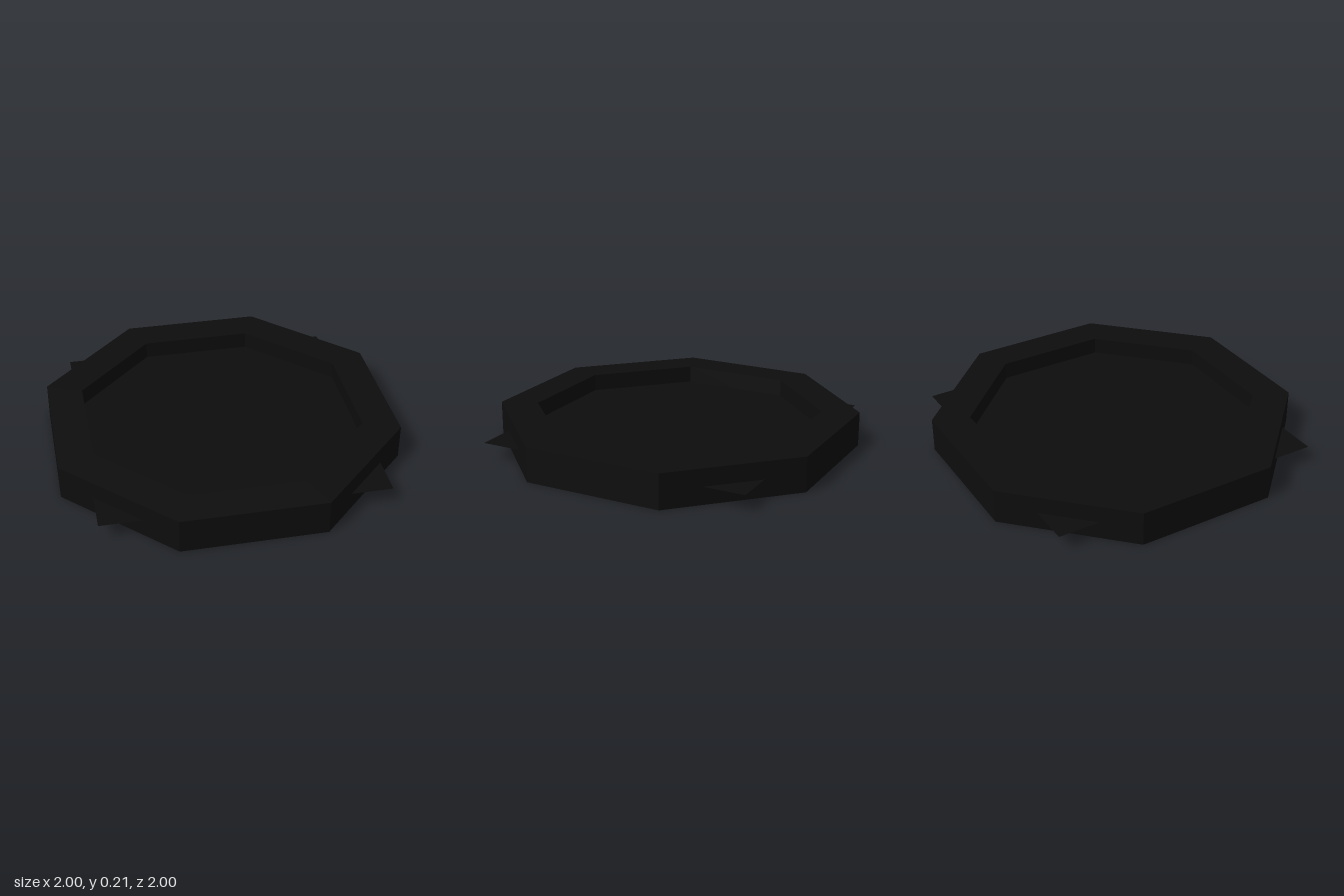
import * as THREE from 'three';

const HEIGHT = 0.207;
const WALL = 0.207;
const PLATE = 1.657;

// Corners of a regular octagon with flat sides facing the axes
function octagon(apothem) {
  const r = apothem / Math.cos(Math.PI / 8);
  return Array.from({ length: 8 }, (_, i) => {
    const a = Math.PI / 8 + (i * Math.PI) / 4;
    return new THREE.Vector2(r * Math.cos(a), r * Math.sin(a));
  });
}

export function createModel() {
  const group = new THREE.Group();
  const black = new THREE.MeshStandardMaterial({ color: 0x0d0d0d, side: THREE.DoubleSide });
  black.name = 'black';

  // Octagonal frame, open through the middle
  const outline = new THREE.Shape(octagon(1));
  outline.holes.push(new THREE.Path(octagon(1 - WALL).reverse()));
  const frameGeometry = new THREE.ExtrudeGeometry(outline, { depth: HEIGHT, bevelEnabled: false });
  frameGeometry.rotateX(-Math.PI / 2);
  const frame = new THREE.Mesh(frameGeometry, black);
  frame.name = 'octagonalFrame';
  group.add(frame);

  // Flat square panel at mid height, its corners poking through the frame
  const panelGeometry = new THREE.PlaneGeometry(PLATE, PLATE);
  panelGeometry.rotateX(-Math.PI / 2);
  const panel = new THREE.Mesh(panelGeometry, black);
  panel.name = 'squarePanel';
  panel.position.y = HEIGHT / 2;
  group.add(panel);

  return group;
}
